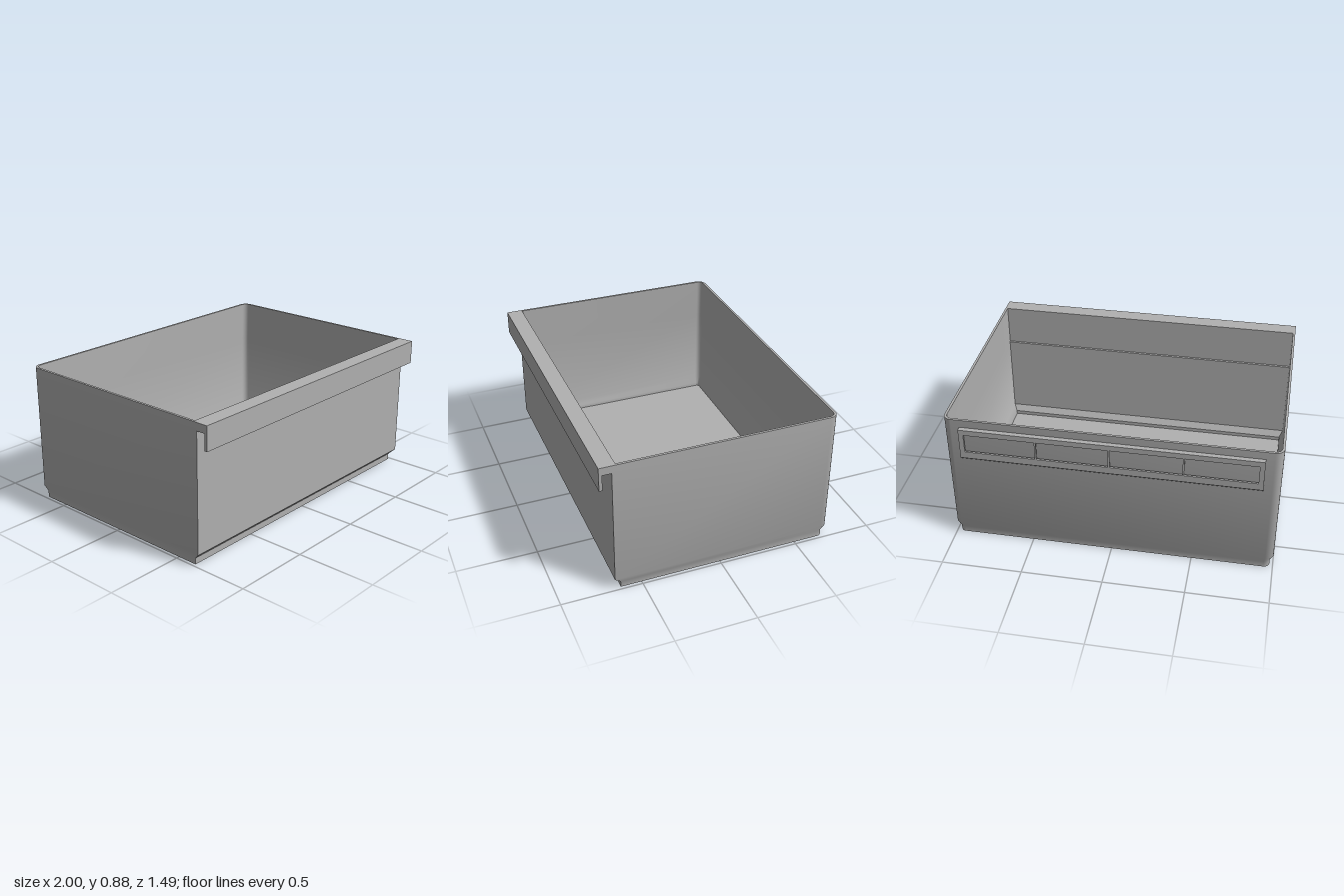
import * as THREE from 'three';
import { toCreasedNormals } from 'three/addons/utils/BufferGeometryUtils.js';

// Outline at one height: square front corners, rounded back corners
function ring(x, zBack, zFront, r, y) {
  const pts = [[x, y, zFront]];
  const steps = 6;
  for (const k of [0, 1]) {
    for (let i = 0; i <= steps; i++) {
      const a = (k + i / steps) * Math.PI / 2;
      const cx = k ? -(x - r) : x - r;
      pts.push([cx + r * Math.cos(a), y, zBack + r - r * Math.sin(a)]);
    }
  }
  pts.push([-x, y, zFront]);
  return pts;
}

// Skin consecutive rings, then cap the first (facing down) and last (facing up)
function skin(rings) {
  const pos = [];
  const tri = (a, b, c) => pos.push(...a, ...b, ...c);
  const n = rings[0].length;
  for (let j = 0; j < rings.length - 1; j++) {
    const a = rings[j], b = rings[j + 1];
    for (let i = 0; i < n; i++) {
      const k = (i + 1) % n;
      tri(a[i], a[k], b[k]);
      tri(a[i], b[k], b[i]);
    }
  }
  const first = rings[0], last = rings[rings.length - 1];
  for (let i = 1; i < n - 1; i++) {
    tri(first[0], first[i + 1], first[i]);
    tri(last[0], last[i], last[i + 1]);
  }
  const g = new THREE.BufferGeometry();
  g.setAttribute('position', new THREE.Float32BufferAttribute(pos, 3));
  return toCreasedNormals(g, 0.6);
}

// Extrude a (z, y) profile along x, centred
function alongX(points, width) {
  const shape = new THREE.Shape(points.map(([z, y]) => new THREE.Vector2(z, y)));
  const g = new THREE.ExtrudeGeometry(shape, { depth: width, bevelEnabled: false });
  return g.translate(0, 0, -width / 2).rotateY(-Math.PI / 2);
}

export function createModel() {
  const group = new THREE.Group();
  const plastic = new THREE.MeshStandardMaterial({ color: 0xb0b0b0 });
  plastic.name = 'grey plastic';
  const add = (name, geometry) => {
    const mesh = new THREE.Mesh(geometry, plastic);
    mesh.name = name;
    group.add(mesh);
  };

  // Open bin: outside going up, over the rim, inside going down to the floor
  add('binShell', skin([
    ring(0.98, -0.695, 0.63, 0.035, 0),
    ring(0.98, -0.695, 0.63, 0.035, 0.04),
    ring(1, -0.715, 0.67, 0.05, 0.08),
    ring(1, -0.715, 0.67, 0.05, 0.88),
    ring(0.985, -0.7, 0.645, 0.035, 0.88),
    ring(0.985, -0.7, 0.645, 0.035, 0.62),
    ring(0.985, -0.7, 0.638, 0.035, 0.615),
    ring(0.985, -0.7, 0.638, 0.035, 0.085),
    ring(0.965, -0.685, 0.61, 0.02, 0.045),
    ring(0.965, -0.685, 0.61, 0.02, 0.02),
  ]));

  // Hooked grip along the front rim
  add('frontGrip', alongX([
    [0.67, 0.83], [0.725, 0.83], [0.725, 0.73], [0.745, 0.73], [0.745, 0.88], [0.67, 0.88],
  ], 2));

  // Label holder on the back: plate with four windows, held off by two rails
  const plate = new THREE.Shape([
    new THREE.Vector2(-0.9, 0.63), new THREE.Vector2(0.9, 0.63),
    new THREE.Vector2(0.9, 0.83), new THREE.Vector2(-0.9, 0.83),
  ]);
  for (let i = 0; i < 4; i++) {
    const x0 = -0.87 + i * 0.4375, x1 = x0 + 0.4275;
    plate.holes.push(new THREE.Path([
      new THREE.Vector2(x0, 0.675), new THREE.Vector2(x0, 0.795),
      new THREE.Vector2(x1, 0.795), new THREE.Vector2(x1, 0.675),
    ]));
  }
  const plateGeometry = new THREE.ExtrudeGeometry(plate, { depth: 0.012, bevelEnabled: false });
  add('labelPlate', plateGeometry.translate(0, 0, -0.745));
  add('labelTopRail', alongX([
    [-0.733, 0.81], [-0.714, 0.81], [-0.714, 0.83], [-0.733, 0.83],
  ], 1.8));
  add('labelBottomRail', alongX([
    [-0.745, 0.63], [-0.714, 0.603], [-0.714, 0.66], [-0.733, 0.66], [-0.733, 0.63],
  ], 1.8));

  return group;
}
